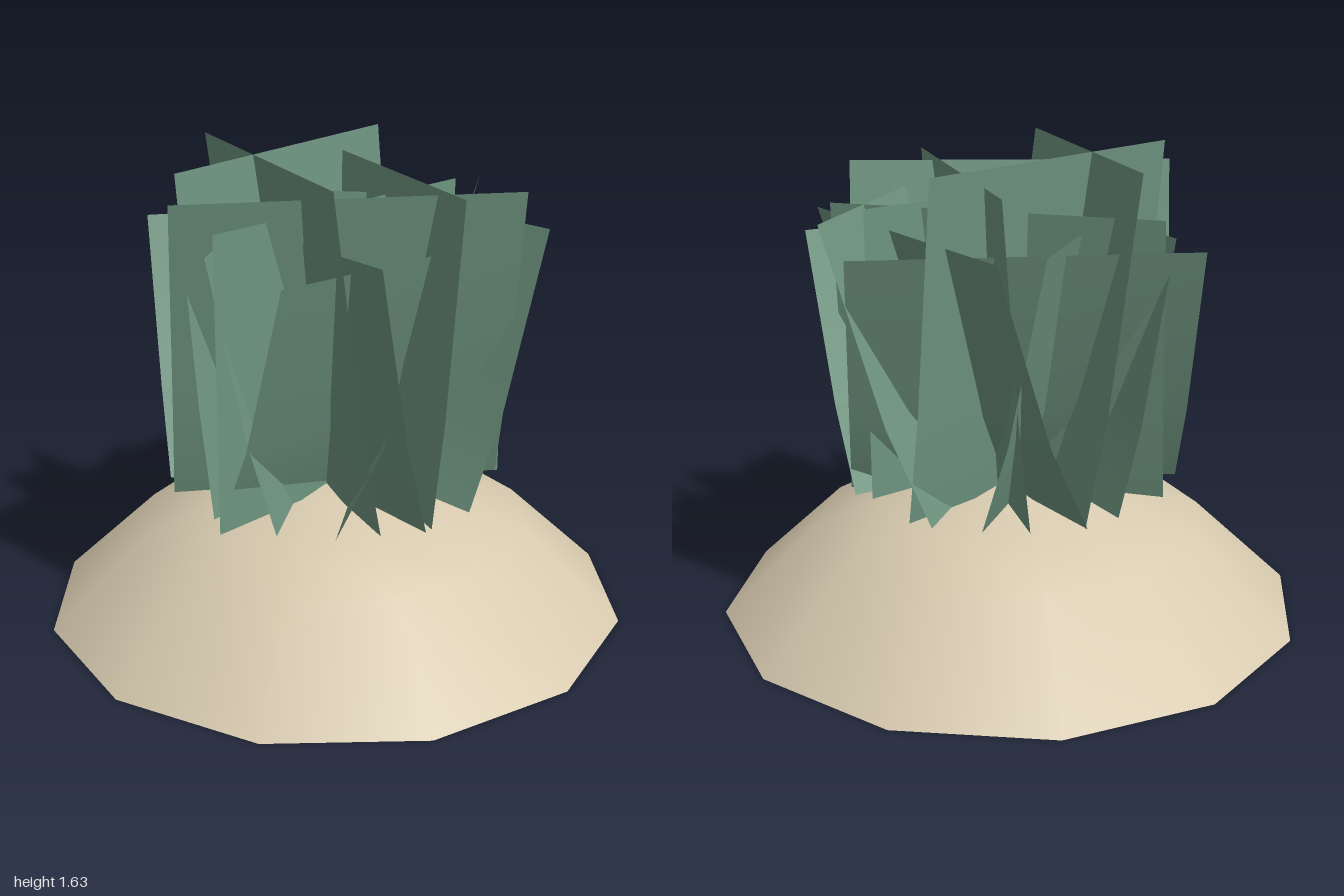
import * as THREE from 'three';

const sand = new THREE.MeshStandardMaterial({ color: 0xd6c9ae, side: THREE.DoubleSide });
const grass = new THREE.MeshStandardMaterial({ color: 0x6f9580, side: THREE.DoubleSide });

const BASE_Y = 0.48;

// Top edge of each card: x1, z1, x2, z2, height
const CARDS = [
  // inner, upright ring
  [-0.61, 0.03, 0.45, -0.42, 1.63],
  [-0.33, 0.52, -0.18, -0.6, 1.63],
  [0.26, -0.53, 0.1, 0.6, 1.57],
  [-0.67, 0.1, 0.4, 0.53, 1.55],
  [-0.6, 0.26, 0.54, -0.05, 1.48],
  [-0.31, -0.52, 0.57, 0.22, 1.46],
  // outer, leaning ring
  [-0.43, -0.58, 0.67, -0.24, 1.36],
  [0.33, -0.65, 0.54, 0.48, 1.4],
  [-0.03, 0.73, 0.72, -0.14, 1.46],
  [-0.5, 0.5, 0.63, 0.33, 1.35],
  [-0.22, 0.62, -0.35, -0.52, 1.4],
  [-0.61, 0.22, 0.15, -0.62, 1.4],
];

// A wide card that leans out from the centre, a little more steeply near its foot
function cardGeometry([x1, z1, x2, z2, top]) {
  const dx = x2 - x1, dz = z2 - z1, len = Math.hypot(dx, dz);
  let nx = -dz / len, nz = dx / len;
  let offset = x1 * nx + z1 * nz;
  if (offset < 0) { nx = -nx; nz = -nz; offset = -offset; }
  const lean = offset - 0.09;
  const rows = [[0, 0], [0.33, 0.42], [1, 1]]; // height fraction, lean fraction
  const geo = new THREE.PlaneGeometry(1, 1, 1, 2);
  const pos = geo.attributes.position;
  // start from whichever end makes the front face outward
  const outward = dz * nx - dx * nz < 0;
  for (let i = 0; i < pos.count; i++) {
    const [h, l] = rows[2 - Math.floor(i / 2)];
    const atEnd = (i % 2 === 1) === outward;
    const shift = lean * (l - 1);
    pos.setXYZ(i,
      (atEnd ? x2 : x1) + nx * shift,
      BASE_Y + (top - BASE_Y) * h,
      (atEnd ? z2 : z1) + nz * shift);
  }
  geo.computeVertexNormals();
  return geo;
}

export function createModel() {
  const model = new THREE.Group();
  model.name = 'grassTuftOnMound';

  // Hollow twelve-sided mound
  const k = 1 / Math.cos(Math.PI / 12);
  const profile = [[1, 0], [0.67, 0.32], [0.46, 0.4], [0.28, 0.48], [0.1, 0.515], [0, 0.52]]
    .map(([r, y]) => new THREE.Vector2(r * k, y));
  const mound = new THREE.Mesh(new THREE.LatheGeometry(profile, 12, Math.PI / 12), sand);
  mound.name = 'mound';
  model.add(mound);

  // Crossing grass cards
  const tuft = new THREE.Group();
  tuft.name = 'grassTuft';
  CARDS.forEach((card, i) => {
    const mesh = new THREE.Mesh(cardGeometry(card), grass);
    mesh.name = `grassCard${i + 1}`;
    tuft.add(mesh);
  });
  model.add(tuft);
  return model;
}
